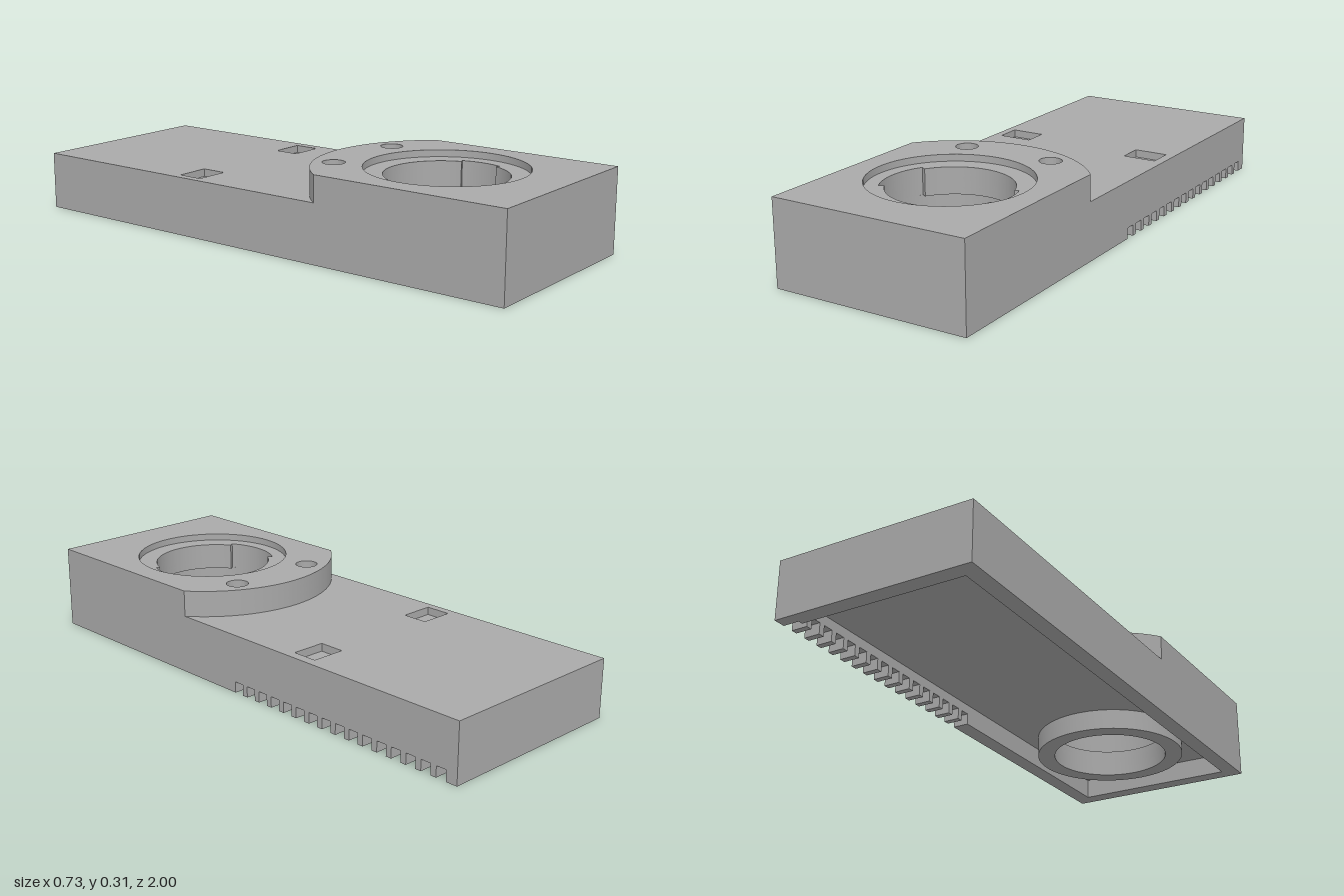
import * as THREE from 'three';
import { toCreasedNormals } from 'three/addons/utils/BufferGeometryUtils.js';

const W = 0.365, L = 1, WALL = 0.06;
const CEILING = 0.075, DECK = 0.213, TOP = 0.308;
const CZ = 0.555; // z of the socket centre

// Plan shapes use (x, -z); extruding them goes up y.
const circle = (r, x = 0, z = CZ) => new THREE.Path().absarc(x, -z, r, 0, Math.PI * 2);

function rect(x0, x1, z0, z1, Type = THREE.Path) {
  const p = new Type();
  p.moveTo(x0, -z1).lineTo(x1, -z1).lineTo(x1, -z0).lineTo(x0, -z0).closePath();
  return p;
}

// Round bore with one narrow and one wide key notch
function notchedBore() {
  const p = new THREE.Path(), a = 0.33, b = 0.537, PI = Math.PI;
  p.absarc(0, -CZ, 0.23, -a, a);
  p.absarc(0, -CZ, 0.215, a, PI - b);
  p.absarc(0, -CZ, 0.235, PI - b, PI + b);
  p.absarc(0, -CZ, 0.215, PI + b, 2 * PI - a);
  p.closePath();
  return p;
}

// Front block outline with an arched rear edge
function headShape() {
  const r = 0.46, a = Math.acos(W / r), s = new THREE.Shape();
  s.moveTo(-W, -L).lineTo(W, -L);
  s.absarc(0, -CZ, r, a, Math.PI - a);
  s.closePath();
  return s;
}

export function createModel() {
  const group = new THREE.Group();
  const grey = new THREE.MeshStandardMaterial({ color: 0xaaaaaa });
  grey.name = 'plain grey';

  const add = (name, geometry) => {
    const mesh = new THREE.Mesh(toCreasedNormals(geometry, 0.5), grey);
    mesh.name = name;
    group.add(mesh);
  };
  const layer = (name, shape, y0, y1, holes = []) => {
    shape.holes.push(...holes);
    const g = new THREE.ExtrudeGeometry(shape, { depth: y1 - y0, bevelEnabled: false, curveSegments: 48 });
    add(name, g.rotateX(-Math.PI / 2).translate(0, y0, 0));
  };
  const plate = () => rect(-W, W, -L, L, THREE.Shape);

  // Lower skirt around the hollow underside
  layer('rightSkirt', rect(-W, -W + WALL, -L, L, THREE.Shape), 0, CEILING);
  layer('frontSkirt', rect(-W + WALL, W - WALL, L - WALL, L, THREE.Shape), 0, CEILING);
  layer('backSkirt', rect(-W + WALL, W - WALL, -L, -L + WALL, THREE.Shape), 0, CEILING);

  // Side skirt with a row of comb slots, drawn in (-z, y)
  const comb = new THREE.Shape();
  comb.moveTo(-L, 0);
  for (let i = 0; i < 16; i++) {
    const s = -0.005 + i * 0.0615, e = s + 0.039;
    comb.lineTo(s, 0).lineTo(s, 0.04).lineTo(e, 0.04).lineTo(e, 0);
  }
  comb.lineTo(L, 0).lineTo(L, CEILING).lineTo(-L, CEILING).closePath();
  const combGeometry = new THREE.ExtrudeGeometry(comb, { depth: WALL, bevelEnabled: false });
  add('slottedLeftSkirt', combGeometry.rotateY(Math.PI / 2).translate(W - WALL, 0, 0));

  // Socket collar below the ceiling
  const collar = new THREE.Shape();
  collar.absarc(0, -CZ, 0.28, 0, Math.PI * 2);
  layer('socketCollar', collar, 0, CEILING, [circle(0.215)]);

  // Main plate: lower lip, wider locking channel, then deck with two blind pockets
  layer('lowerPlate', plate(), CEILING, 0.1, [circle(0.215)]);
  layer('channelPlate', plate(), 0.1, 0.185, [circle(0.235)]);
  layer('deckPlate', plate(), 0.185, DECK, [
    notchedBore(), rect(-0.335, -0.21, -0.355, -0.26), rect(0.205, 0.33, -0.355, -0.26),
  ]);

  // Raised head with blind pin holes and a shallow counterbore
  const pins = () => [-1, 1].map((s) => circle(0.04, s * 0.172, 0.21));
  layer('headBase', headShape(), DECK, 0.25, [notchedBore()]);
  layer('headBody', headShape(), 0.25, 0.283, [notchedBore(), ...pins()]);
  layer('headRim', headShape(), 0.283, TOP, [circle(0.283), ...pins()]);

  return group;
}
